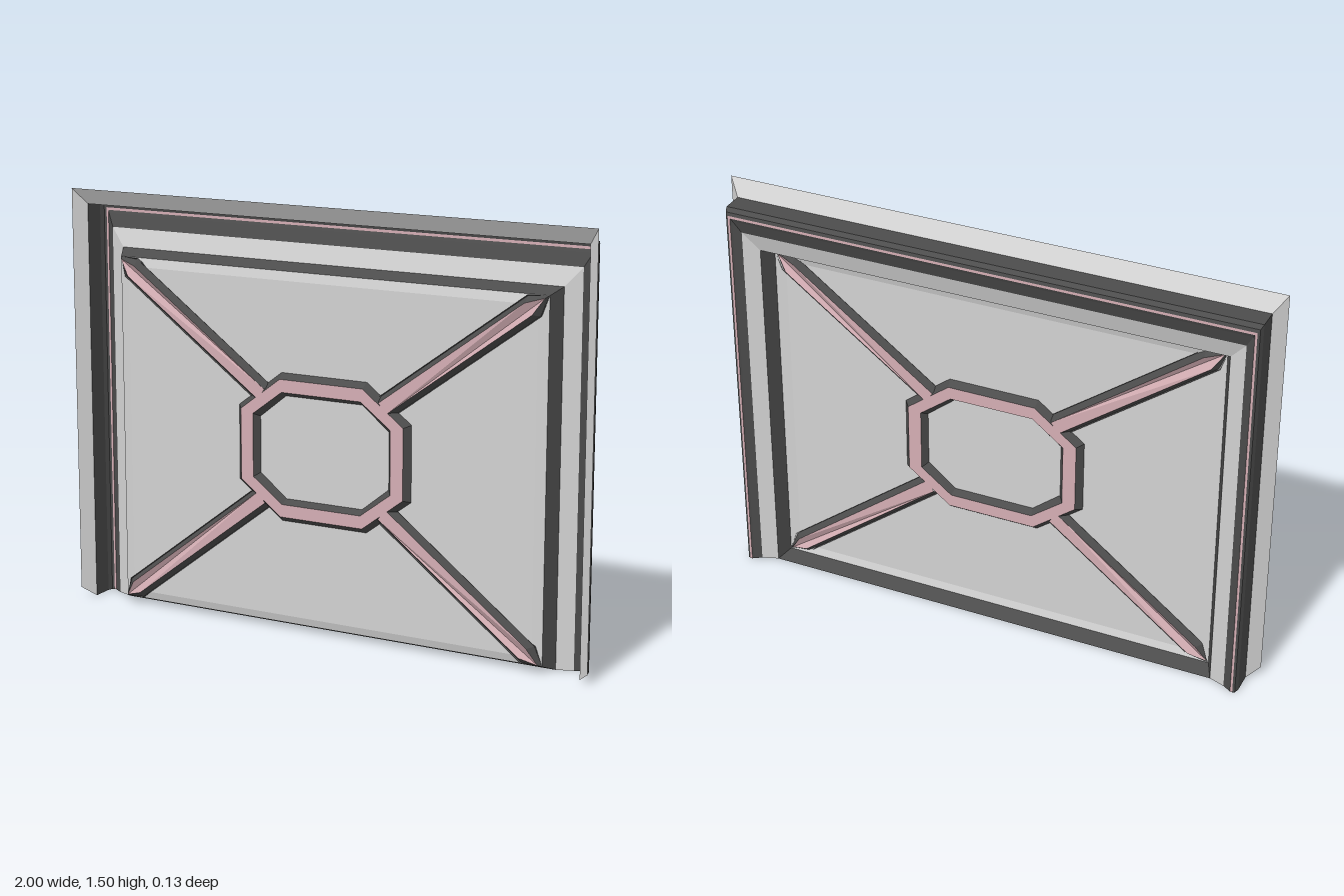
import * as THREE from 'three';

const mat = (name, color) => {
  const m = new THREE.MeshStandardMaterial({ color, side: THREE.DoubleSide, flatShading: true });
  m.name = name;
  return m;
};

export function createModel() {
  const root = new THREE.Group();
  root.name = 'framedWindow';
  const light = mat('paleGrey', 0xd2d2d2);
  const dark = mat('darkGrey', 0x4c4c4c);
  const pink = mat('dustyPink', 0xd4aeb4);

  const add = (parent, name, tris, material) => {
    const g = new THREE.BufferGeometry();
    g.setAttribute('position', new THREE.Float32BufferAttribute(tris.flat(), 3));
    g.computeVertexNormals();
    const mesh = new THREE.Mesh(g, material);
    mesh.name = name;
    parent.add(mesh);
    return mesh;
  };

  // Strip of quads joining two point loops (a is the outer or lower one)
  const band = (a, b, closed) => {
    const out = [];
    const n = a.length;
    for (let i = 0; i < (closed ? n : n - 1); i++) {
      const j = (i + 1) % n;
      out.push(a[i], a[j], b[j], a[i], b[j], b[i]);
    }
    return out;
  };
  const fan = (p) => {
    const out = [];
    for (let i = 1; i < p.length - 1; i++) out.push(p[0], p[i], p[i + 1]);
    return out;
  };

  // Casing: a stepped profile carried up one jamb, along the head and down the other
  const frame = new THREE.Group();
  frame.name = 'casing';
  root.add(frame);
  const uPath = ([x, y, z, foot = 0]) => [[x, foot, z], [x, y, z], [-x, y, z], [-x, foot, z]];
  // half width, top height, depth, foot height
  const profile = [
    [1.0, 1.5, 0.066, 0.035],
    [0.958, 1.443, 0.03],
    [0.958, 1.443, -0.045],
    [0.952, 1.432, -0.062],
    [0.944, 1.42, -0.065],
    [0.936, 1.411, -0.065],
    [0.93, 1.4, -0.06],
    [0.905, 1.355, -0.045],
    [0.848, 1.29, -0.025],
  ];
  const steps = [
    ['flange', light], ['outerWall', dark], ['roundedEdge', dark], ['backFace', dark],
    ['pinkSeal', pink], ['innerLip', dark], ['innerSlope', dark], ['paleReveal', light],
  ];
  steps.forEach(([name, m], i) =>
    add(frame, name, band(uPath(profile[i]), uPath(profile[i + 1]), false), m));

  // Sash: a shallow pan pushed forward out of the casing
  const sash = new THREE.Group();
  sash.name = 'sash';
  root.add(sash);
  const PANE = 0.036;
  const rect = (x, y0, y1, z) => [[-x, y0, z], [x, y0, z], [x, y1, z], [-x, y1, z]];
  const base = rect(0.848, 0, 1.29, -0.025);
  const rim = rect(0.822, 0.022, 1.267, 0.028);
  const edge = rect(0.785, 0.05, 1.235, PANE);
  add(sash, 'sashWall', band(base, rim, true), dark);
  add(sash, 'paneBevel', band(rim, edge, true), light);
  add(sash, 'pane', fan(edge), light);

  // Glazing bars, raised on both sides of the pane
  const CY = 0.655;
  const RISE = 0.024;
  const octagon = (ax, ay, bx, by, z) => [
    [bx, -by], [bx, by], [ax, ay], [-ax, ay], [-bx, by], [-bx, -by], [-ax, -ay], [ax, -ay],
  ].map(([x, y]) => [x, CY + y, z]);

  for (const side of [1, -1]) {
    const bars = new THREE.Group();
    bars.name = side > 0 ? 'frontBars' : 'backBars';
    root.add(bars);
    const top = PANE + side * RISE;

    // Eight-sided centre ring
    const o0 = octagon(0.165, 0.262, 0.335, 0.133, PANE);
    const o1 = octagon(0.16, 0.243, 0.315, 0.125, top);
    const i1 = octagon(0.153, 0.198, 0.267, 0.112, top);
    const i0 = octagon(0.148, 0.182, 0.25, 0.1, PANE);
    add(bars, 'ringOuterSide', band(o0, o1, true), dark);
    add(bars, 'ringFace', band(o1, i1, true), pink);
    add(bars, 'ringInnerSide', band(i1, i0, true), dark);

    // Four diagonal bars running from the ring to pointed tips in the corners
    for (const sx of [1, -1]) for (const sy of [1, -1]) {
      const start = new THREE.Vector2(sx * 0.235, CY + sy * 0.183);
      const tip = new THREE.Vector2(sx * 0.822, sy > 0 ? 1.267 : 0.022);
      const length = start.distanceTo(tip);
      const dir = tip.clone().sub(start).normalize();
      const outline = (w, shoulder, end, z, zEnd) => [
        [0, -w, z], [length - shoulder, -w, z], [length - end, 0, zEnd],
        [length - shoulder, w, z], [0, w, z],
      ].map(([s, t, h]) => [start.x + dir.x * s - dir.y * t, start.y + dir.y * s + dir.x * t, h]);
      const low = outline(0.042, 0.06, 0, PANE - side * 0.004, PANE - 0.008);
      const high = outline(0.023, 0.075, 0.012, top, PANE + side * 0.008);
      add(bars, 'diagonalBarSide', band(low, high, false), dark);
      add(bars, 'diagonalBarFace', fan(high), pink);
    }
  }
  return root;
}
